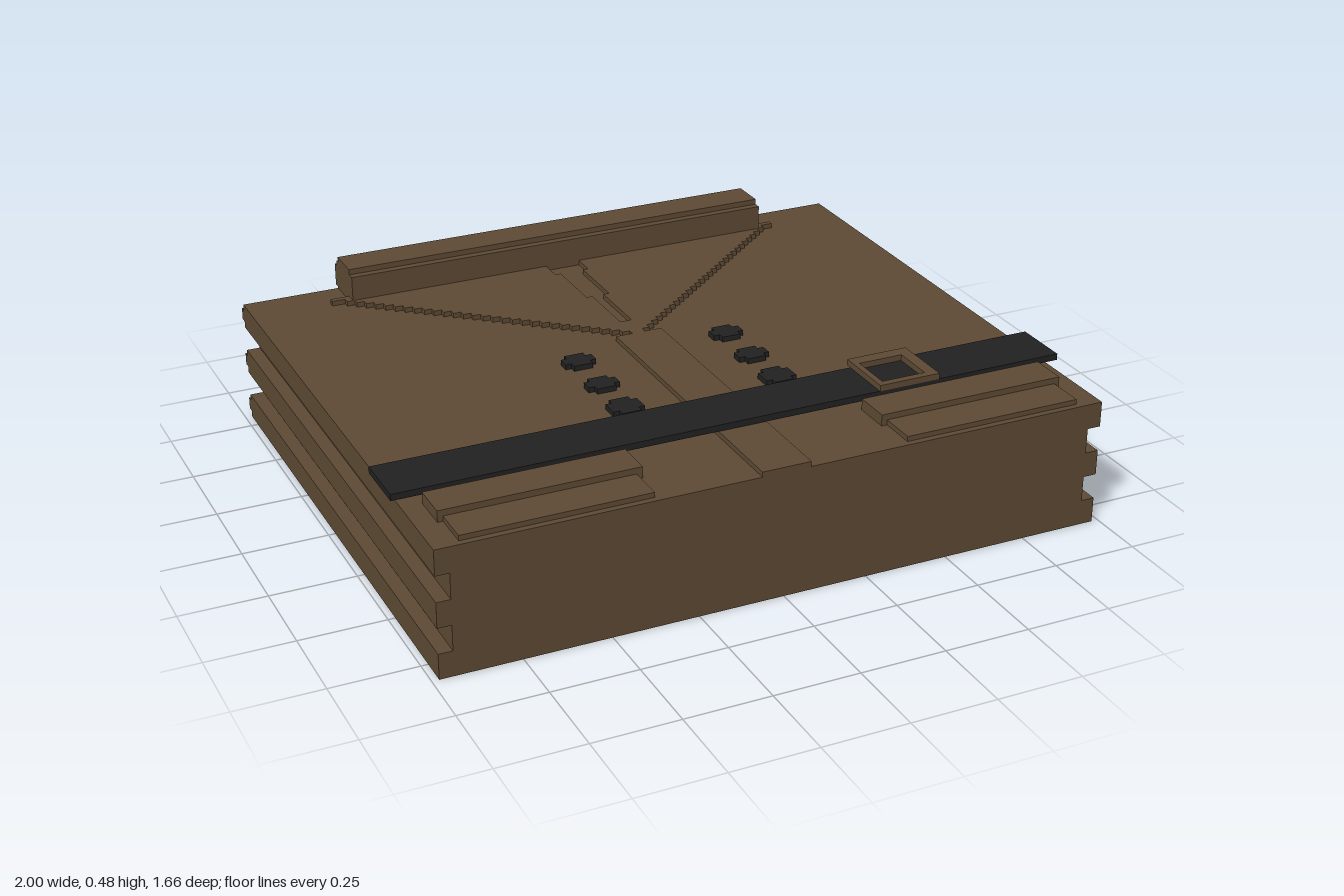
import * as THREE from 'three';

const cloth = new THREE.MeshStandardMaterial({ color: 0x5f4b35 });
cloth.name = 'brown cloth';
const leather = new THREE.MeshStandardMaterial({ color: 0x222222 });
leather.name = 'black leather';

export function createModel() {
  const model = new THREE.Group();
  model.name = 'foldedCoat';

  const add = (name, geometry, material) => {
    const mesh = new THREE.Mesh(geometry, material);
    mesh.name = name;
    model.add(mesh);
    return mesh;
  };
  // Box given by its limits on each axis
  const box = (name, [x0, x1], [y0, y1], [z0, z1], material = cloth) => {
    const g = new THREE.BoxGeometry(x1 - x0, y1 - y0, z1 - z0);
    g.translate((x0 + x1) / 2, (y0 + y1) / 2, (z0 + z1) / 2);
    return add(name, g, material);
  };
  const toShape = (pts) => new THREE.Shape(pts.map(([x, y]) => new THREE.Vector2(x, y)));
  const extrude = (shape, depth) => new THREE.ExtrudeGeometry(shape, { depth, bevelEnabled: false });
  // Lay an outline drawn in (x, z) flat, from height y0 to y1
  const flat = (shape, y0, y1) => extrude(shape, y1 - y0).rotateX(Math.PI / 2).translate(0, y1, 0);
  const mirrored = (half) => [...half, ...half.map(([x, y]) => [-x, y]).reverse()];

  // Stacked folds: five layers, every second one set in at the sides
  const top = 0.375;
  const layer = top / 5;
  const side = [];
  for (let i = 0; i < 5; i++) {
    const x = i % 2 ? 0.94 : 0.98;
    side.push([x, i * layer], [x, (i + 1) * layer]);
  }
  add('foldedBody', extrude(toShape(mirrored(side)), 1.64).translate(0, 0, -0.81), cloth);

  // Ribs along the back, one per layer
  for (let i = 0; i < 5; i++) {
    const x = i % 2 ? 0.94 : 0.98;
    const y = i * layer + 0.02;
    box('backFold', [-x, x], [y, y + 0.036], [-0.83, -0.81]);
  }

  // Stepped lapels, joined at the tip and split by a narrowing gap
  const steps = 30;
  const edge = [[0.74, -0.705], [0.74, -0.687], [0.7, -0.687]];
  for (let i = 0; i < steps; i++) {
    const x = 0.7 - (0.68 * i) / (steps - 1);
    edge.push([x, -0.687 + (0.587 * i) / steps], [x, -0.687 + (0.587 * (i + 1)) / steps]);
  }
  const lapels = toShape(mirrored(edge.slice(0, 2).concat(edge.slice(3))));
  lapels.holes.push(toShape(mirrored([
    [0.055, -0.69], [0.055, -0.595], [0.037, -0.595], [0.037, -0.395], [0.018, -0.395], [0.018, -0.19],
  ])));
  add('lapels', flat(lapels, top, 0.39), cloth);

  // Front placket
  box('placket', [-0.072, 0.072], [top, 0.39], [-0.1, 0.83]);

  // Rolled collar with a stepped section drawn in (-z, y)
  const collar = toShape([
    [0.667, 0.37], [0.81, 0.37], [0.81, 0.38], [0.83, 0.38], [0.83, 0.448], [0.812, 0.448],
    [0.812, 0.465], [0.797, 0.465], [0.797, 0.482], [0.69, 0.482], [0.69, 0.465], [0.667, 0.465],
  ]);
  add('collar', extrude(collar, 1.364).rotateY(Math.PI / 2).translate(-0.682, 0, 0), cloth);

  // Two columns of blocky buttons
  for (const x of [-0.234, 0.234]) {
    for (const [z, h, w] of [[0, 0.037, 0.018], [0.164, 0.036, 0.018], [0.323, 0.046, 0.027]]) {
      const button = toShape(mirrored([[0.029, -h], [0.029, -w], [0.047, -w], [0.047, w], [0.029, w], [0.029, h]]));
      add('button', flat(button, top, 0.391).translate(x, 0, z), leather);
    }
  }

  // Belt and its square buckle
  box('belt', [-1, 1], [0.39, 0.409], [0.405, 0.573], leather);
  const buckle = toShape([[0.422, 0.387], [0.61, 0.387], [0.61, 0.575], [0.422, 0.575]]);
  buckle.holes.push(toShape([[0.44, 0.425], [0.575, 0.425], [0.575, 0.553], [0.44, 0.553]]));
  add('buckle', flat(buckle, 0.409, 0.427), cloth);

  // Pockets with overhanging flaps
  for (const s of [-1, 1]) {
    const span = (a, b) => [s * a, s * b].sort((p, q) => p - q);
    box('pocketFlap', span(0.355, 0.922), [top, 0.408], [0.592, 0.702]);
    box('pocket', span(0.372, 0.907), [top, 0.39], [0.702, 0.812]);
  }

  return model;
}
